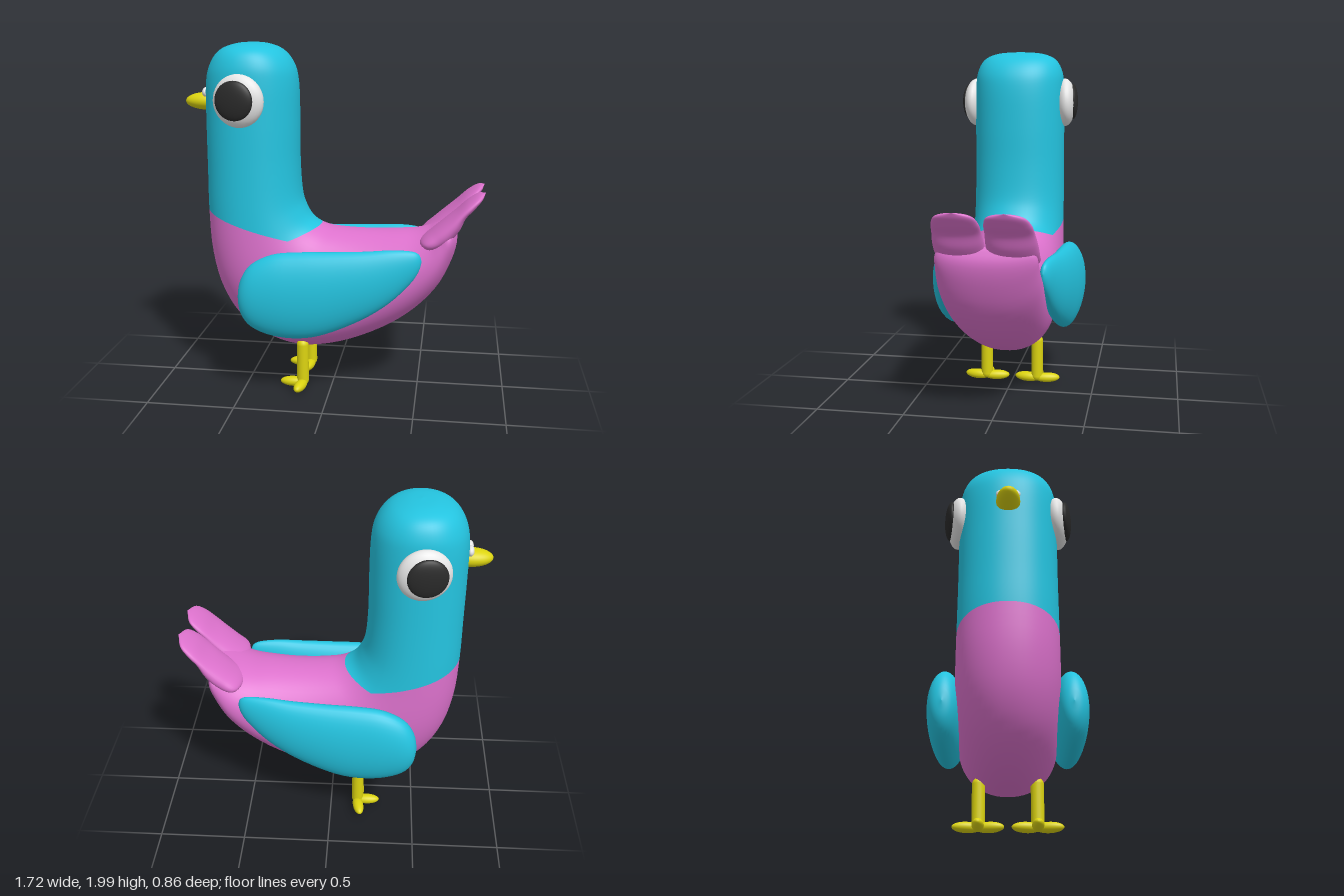
import * as THREE from 'three';

const mat = (name, color) => Object.assign(new THREE.MeshStandardMaterial({ color }), { name });

// Smooth loft through sections [x1, y1, x2, y2, halfWidth, zCentre]; each ring spans point 1 to point 2.
// With an edge function, the surface is divided where it turns negative (group 0 above, group 1 below).
function loft(sections, { rows = 40, sides = 40, power = 2, edge = null } = {}) {
  const curve = (f) => new THREE.CatmullRomCurve3(sections.map(f), false, 'catmullrom', 0.5);
  const outer = curve((s) => new THREE.Vector3(s[0], s[1], s[4]));
  const inner = curve((s) => new THREE.Vector3(s[2], s[3], s[5] || 0));
  const soft = (v) => Math.sign(v) * Math.pow(Math.abs(v), 2 / power);
  const at = (v, a) => {
    const o = outer.getPoint(v), n = inner.getPoint(v);
    const c = soft(Math.cos(a));
    return new THREE.Vector3(
      (o.x + n.x) / 2 + (o.x - n.x) / 2 * c,
      (o.y + n.y) / 2 + (o.y - n.y) / 2 * c,
      n.z + Math.max(0, o.z) * soft(Math.sin(a)));
  };
  const half = rows / 2, pos = [], index = [];
  const splits = [];
  for (let j = 0; j < sides; j++) {
    let lo = 0, hi = 1;
    if (edge) {
      for (let k = 0; k < 30; k++) {
        const m = (lo + hi) / 2;
        if (edge(at(m, j / sides * Math.PI * 2)) > 0) lo = m; else hi = m;
      }
    } else lo = 0.5;
    splits.push(lo);
  }
  for (let i = 0; i <= rows; i++) {
    for (let j = 0; j < sides; j++) {
      const s = splits[j];
      const v = i <= half ? s * i / half : s + (1 - s) * (i - half) / half;
      pos.push(...at(v, j / sides * Math.PI * 2).toArray());
    }
  }
  for (let i = 0; i < rows; i++) {
    for (let j = 0; j < sides; j++) {
      const k = (j + 1) % sides;
      const a = i * sides + j, b = a + sides, c = i * sides + k, d = c + sides;
      index.push(a, b, c, c, b, d);
    }
  }
  const g = new THREE.BufferGeometry();
  g.setAttribute('position', new THREE.Float32BufferAttribute(pos, 3));
  g.setIndex(index);
  g.computeVertexNormals();
  if (edge) {
    g.addGroup(0, index.length / 2, 0);
    g.addGroup(index.length / 2, index.length / 2, 1);
  }
  return g;
}

export function createModel() {
  const model = new THREE.Group();
  model.name = 'bird';
  const blue = mat('turquoise', 0x24c4e0);
  const pink = mat('pink', 0xdd72cd);
  const yellow = mat('yellow', 0xdcd410);
  const white = mat('white', 0xe6e6e6);
  const black = mat('black', 0x2a2a2a);

  const add = (name, geometry, material, parent = model) => {
    const m = new THREE.Mesh(geometry, material);
    m.name = name;
    parent.add(m);
    return m;
  };
  const ball = (name, material, p, r, turnY = 0, parent = model) => {
    const m = add(name, new THREE.SphereGeometry(1, 32, 20).scale(...r), material, parent);
    m.position.set(...p);
    m.rotation.y = turnY;
    return m;
  };

  // Head, neck and body in one sweep, fanning around the nape
  const body = [
    [-0.465, 2.0, -0.465, 2.0, 0],
    [-0.56, 1.99, -0.375, 1.99, 0.13],
    [-0.645, 1.955, -0.29, 1.955, 0.215],
    [-0.70, 1.88, -0.23, 1.88, 0.258],
    [-0.726, 1.77, -0.205, 1.77, 0.27],
    [-0.73, 1.55, -0.20, 1.55, 0.272],
    [-0.73, 1.3, -0.20, 1.33, 0.272],
    [-0.73, 1.05, -0.188, 1.15, 0.274],
    [-0.715, 0.8, -0.16, 1.06, 0.277],
    [-0.66, 0.58, -0.115, 0.995, 0.28],
    [-0.55, 0.40, -0.04, 0.957, 0.28],
    [-0.38, 0.28, 0.05, 0.945, 0.28],
    [-0.18, 0.23, 0.16, 0.94, 0.28],
    [0.05, 0.265, 0.27, 0.94, 0.28],
    [0.28, 0.36, 0.38, 0.945, 0.28],
    [0.46, 0.48, 0.47, 0.95, 0.28],
    [0.60, 0.63, 0.54, 0.965, 0.278],
    [0.68, 0.79, 0.585, 0.985, 0.272],
    [0.71, 0.91, 0.625, 1.0, 0.262],
    [0.69, 0.98, 0.67, 1.0, 0.2],
    [0.68, 0.99, 0.68, 0.99, 0],
  ];
  const colourLine = (p) => p.y - Math.max(1.06 - 0.3 * (p.x + 0.73), 0.91 + 0.37 * (p.x + 0.23));
  add('headAndBody', loft(body, { rows: 96, sides: 64, power: 2.15, edge: colourLine }), [blue, pink]);

  // Beak and the pale bumps over it
  ball('beak', yellow, [-0.735, 1.665, 0], [0.125, 0.05, 0.065]);

  for (const s of [1, -1]) {
    const side = new THREE.Group();
    side.name = s > 0 ? 'leftSide' : 'rightSide';
    model.add(side);

    // Split tail feather
    add('tailFeather', loft([
      [0.50, 0.90, 0.50, 0.90, 0, 0.135],
      [0.57, 0.88, 0.51, 0.935, 0.12, 0.137],
      [0.66, 0.92, 0.57, 0.99, 0.135, 0.138],
      [0.72, 0.99, 0.64, 1.05, 0.134, 0.138],
      [0.755, 1.065, 0.70, 1.10, 0.128, 0.136],
      [0.80, 1.115, 0.76, 1.155, 0.12, 0.133],
      [0.84, 1.165, 0.815, 1.19, 0.09, 0.13],
      [0.856, 1.2, 0.856, 1.2, 0, 0.13],
    ].map((r) => [...r.slice(0, 5), r[5] * s]), { power: 2.2 }), pink, side);

    // Wing: [x, bottom, top, half thickness, z centre]
    add('wing', loft([
      [-0.50, 0.61, 0.61, 0, 0.34],
      [-0.48, 0.51, 0.71, 0.05, 0.34],
      [-0.42, 0.435, 0.80, 0.08, 0.34],
      [-0.30, 0.388, 0.86, 0.095, 0.335],
      [-0.15, 0.378, 0.877, 0.096, 0.33],
      [0.0, 0.41, 0.882, 0.09, 0.325],
      [0.20, 0.50, 0.89, 0.075, 0.315],
      [0.35, 0.60, 0.90, 0.056, 0.302],
      [0.46, 0.71, 0.895, 0.036, 0.288],
      [0.505, 0.78, 0.875, 0.02, 0.28],
      [0.52, 0.835, 0.835, 0, 0.275],
    ].map(([x, b, t, w, z]) => [x, b, x, t, w, z * s])), blue, side);

    // Eye, turned slightly forward
    ball('eyeWhite', white, [-0.485, 1.695, s * 0.275], [0.145, 0.145, 0.065], -0.13 * s, side);
    ball('pupil', black, [-0.5, 1.70, s * 0.321], [0.108, 0.108, 0.032], -0.13 * s, side);
    ball('beakBump', white, [-0.733, 1.717, s * 0.03], [0.02, 0.028, 0.037], 0, side);

    // Leg with three toes
    const leg = add('leg', new THREE.CapsuleGeometry(0.035, 0.22, 8, 20), yellow, side);
    leg.position.set(-0.165, 0.16, s * 0.155);
    for (const turn of [0, 1.4, -1.4]) {
      const reach = 0.06;
      ball('toe', yellow,
        [-0.16 - reach * Math.cos(turn), 0.037, s * 0.155 + reach * Math.sin(turn)],
        [0.078, 0.029, 0.032], turn, side);
    }
  }
  return model;
}
